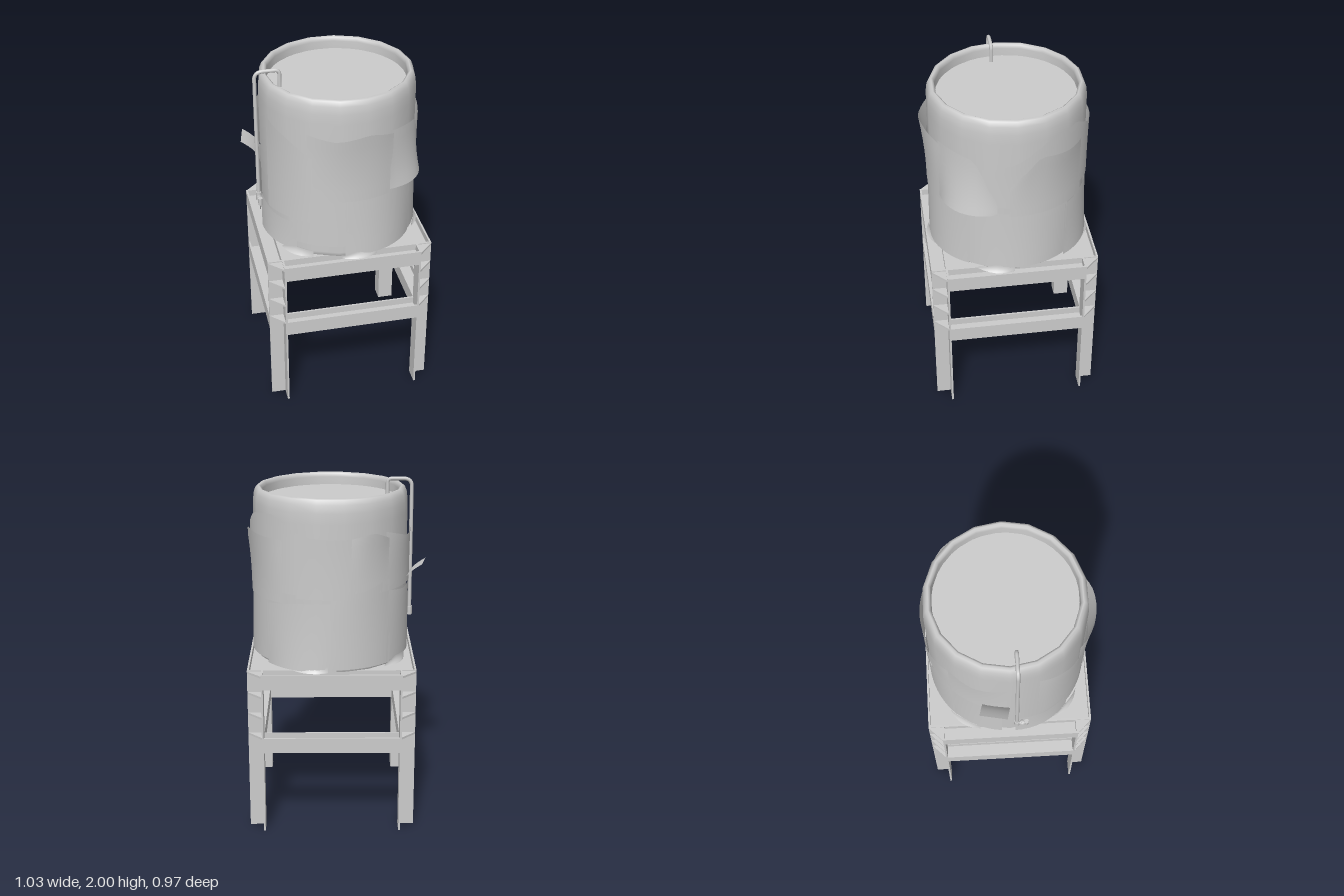
import * as THREE from 'three';

const material = new THREE.MeshStandardMaterial({ color: 0xcccccc });
const thin = new THREE.MeshStandardMaterial({ color: 0xcccccc, side: THREE.DoubleSide });
const CX = 0.025, CZ = -0.004;      // stand centre
const TX = 0.03, TZ = -0.006;       // tank centre
const OUT = 0.482, IN = 0.4, T = 0.011;

function add(parent, name, geometry, mat = material) {
  const mesh = new THREE.Mesh(geometry, mat);
  mesh.name = name;
  parent.add(mesh);
  return mesh;
}

// Box given by its minimum and maximum corners
function block(parent, name, a, b) {
  const mesh = add(parent, name, new THREE.BoxGeometry(b[0] - a[0], b[1] - a[1], b[2] - a[2]));
  mesh.position.set((a[0] + b[0]) / 2, (a[1] + b[1]) / 2, (a[2] + b[2]) / 2);
}

// Upright prism over a plan outline
function prism(outline, depth) {
  const shape = new THREE.Shape(outline.map(([x, y]) => new THREE.Vector2(x, y)));
  return new THREE.ExtrudeGeometry(shape, { depth, bevelEnabled: false }).rotateX(-Math.PI / 2);
}

// Outward-opening angle iron with triangular gussets
function cornerLeg() {
  const leg = new THREE.Group();
  leg.name = 'leg';
  const angle = [[IN - T, IN - T], [OUT, IN - T], [OUT, IN], [IN, IN], [IN, OUT], [IN - T, OUT]];
  add(leg, 'angleIron', prism(angle, 0.97));
  for (const y of [0.578, 0.702, 0.828, 0.952]) {
    add(leg, 'gusset', prism([[IN, IN], [OUT, IN], [IN, OUT]], 0.012)).position.y = y;
  }
  return leg;
}

// Two rails per side: outer and inner plates joined by a middle web
function sideRails() {
  const side = new THREE.Group();
  side.name = 'sideRails';
  for (const y of [0.495, 0.88]) {
    const h = 0.09;
    block(side, 'railOuterPlate', [-IN, y, OUT - T], [IN, y + h, OUT]);
    block(side, 'railInnerPlate', [-IN, y, IN - T], [IN, y + h, IN]);
    block(side, 'railWeb', [-IN, y + h / 2 - 0.006, IN], [IN, y + h / 2 + 0.006, OUT - T]);
  }
  return side;
}

// Curved sheet on the barrel between two bearings in degrees. Its top edge runs
// through evenly spaced heights; a positive lift flares the top, a negative one the foot.
function wrapSheet(from, to, bottom, lift, tops, base = 0.455) {
  const g = new THREE.PlaneGeometry(1, 1, Math.ceil((to - from) / 5), 6);
  const p = g.attributes.position;
  for (let i = 0; i < p.count; i++) {
    const u = p.getX(i) + 0.5, t = p.getY(i) + 0.5;
    const s = u * (tops.length - 1), k = Math.min(Math.floor(s), tops.length - 2);
    const topY = THREE.MathUtils.lerp(tops[k], tops[k + 1], s - k);
    const lean = lift > 0 ? t * t : (1 - t) ** 2;
    const r = base + Math.abs(lift) * Math.sin(Math.PI * u) * lean;
    const a = THREE.MathUtils.degToRad(from + (to - from) * u);
    p.setXYZ(i, TX + r * Math.sin(a), THREE.MathUtils.lerp(bottom, topY, t), TZ + r * Math.cos(a));
  }
  g.computeVertexNormals();
  return g;
}

export function createModel() {
  const model = new THREE.Group();
  model.name = 'waterTankOnStand';

  // Steel stand
  const stand = new THREE.Group();
  stand.name = 'stand';
  stand.position.set(CX, 0, CZ);
  for (let i = 0; i < 4; i++) {
    for (const part of [cornerLeg(), sideRails()]) {
      part.rotation.y = i * Math.PI / 2;
      stand.add(part);
    }
  }
  block(stand, 'platform', [-IN + T, 0.955, -IN + T], [IN - T, 0.97, IN - T]);
  model.add(stand);

  // Barrel with rolled rim
  const profile = [
    [0.43, 0.97], [0.443, 1.0], [0.445, 1.82], [0.444, 1.88], [0.438, 1.925],
    [0.426, 1.952], [0.412, 1.958], [0.4, 1.95], [0.396, 1.93], [0.396, 1.86],
  ].map(([r, y]) => new THREE.Vector2(r, y));
  const twist = Math.PI / 18;
  add(model, 'barrel', new THREE.LatheGeometry(profile, 18, twist), thin).position.set(TX, 0, TZ);
  const water = new THREE.CircleGeometry(0.397, 18, twist).rotateX(-Math.PI / 2);
  add(model, 'waterSurface', water).position.set(TX, 1.885, TZ);

  // Lower skirt of sheets
  const skirt = [
    [-48, -4, 1.05, 0.006, [1.6, 1.62, 1.58]],
    [-6, 54, 0.99, -0.012, [1.4, 1.56, 1.56, 1.38]],
    [50, 130, 1.0, -0.006, [1.4, 1.37, 1.36]],
    [128, 184, 0.98, -0.014, [1.34, 1.37, 1.38]],
    [180, 228, 0.99, 0.008, [1.42, 1.44, 1.5]],
    [224, 264, 1.0, 0.005, [1.42, 1.4, 1.42]],
    [274, 318, 0.99, -0.006, [1.22, 1.17, 1.17]],
  ];
  for (const s of skirt) add(model, 'skirtSheet', wrapSheet(...s), thin);

  // Torn upper sheets
  const upper = [
    [-33, 30, 1.35, 0.032, [1.76, 1.74, 1.77, 1.72]],
    [28, 76, 1.37, -0.042, [1.74, 1.73, 1.71, 1.45]],
    [66, 160, 1.42, 0.008, [1.66, 1.71, 1.84, 1.86, 1.75]],
    [84, 146, 1.36, 0.03, [1.55, 1.75, 1.73, 1.72]],
    [155, 198, 1.4, 0.006, [1.76, 1.74, 1.74]],
    [194, 226, 1.42, 0.022, [1.74, 1.77, 1.72]],
    [222, 268, 1.42, 0.012, [1.76, 1.71, 1.72]],
    [290, 333, 1.2, 0.014, [1.78, 1.72, 1.6]],
  ];
  for (const s of upper) add(model, 'tornSheet', wrapSheet(...s, 0.459), thin);

  // Loose scraps splayed out at the foot of the barrel
  for (const a of [-8, 62, 152, 222, 305]) {
    add(model, 'footScrap', wrapSheet(a, a + 26, 0.973, -0.02, [0.985, 1.015, 1.01], 0.46), thin);
  }

  // Flap peeling outwards on the pipe side
  const curl = new THREE.PlaneGeometry(0.155, 0.125, 1, 6);
  const c = curl.attributes.position;
  for (let i = 0; i < c.count; i++) {
    const t = c.getY(i) / 0.125 + 0.5;
    c.setXYZ(i, -0.11 * t, 0.135 * Math.sqrt(t), c.getX(i));
  }
  curl.computeVertexNormals();
  const flap = add(model, 'peelingFlap', curl, thin);
  flap.position.set(-0.4, 1.395, -0.08);
  flap.rotation.y = -0.2;

  // Overflow pipe hooked over the rim
  const PX = -0.44, PZ = 0.032, top = 1.985;
  const v = (x, y) => new THREE.Vector3(x, y, PZ);
  const path = new THREE.CurvePath();
  path.add(new THREE.LineCurve3(v(PX, 1.19), v(PX, top - 0.045)));
  path.add(new THREE.QuadraticBezierCurve3(v(PX, top - 0.045), v(PX, top), v(PX + 0.05, top)));
  path.add(new THREE.LineCurve3(v(PX + 0.05, top), v(-0.325, top)));
  path.add(new THREE.QuadraticBezierCurve3(v(-0.325, top), v(-0.3, top), v(-0.3, top - 0.025)));
  path.add(new THREE.LineCurve3(v(-0.3, top - 0.025), v(-0.3, 1.87)));
  add(model, 'pipe', new THREE.TubeGeometry(path, 90, 0.011, 8), thin);

  // Tap at the foot of the pipe
  const tap = new THREE.Group();
  tap.name = 'tap';
  tap.position.set(PX, 1.195, PZ);
  add(tap, 'tapCollar', new THREE.CylinderGeometry(0.016, 0.016, 0.05, 8));
  add(tap, 'tapSpout', new THREE.CylinderGeometry(0.01, 0.01, 0.05, 8).rotateX(Math.PI / 2)).position.z = 0.025;
  add(tap, 'tapHandle', new THREE.CylinderGeometry(0.016, 0.016, 0.012, 8).rotateX(Math.PI / 2)).position.z = 0.03;
  add(tap, 'tapNozzle', new THREE.CylinderGeometry(0.014, 0.012, 0.045, 8)).position.set(0, -0.008, 0.054);
  model.add(tap);

  return model;
}
